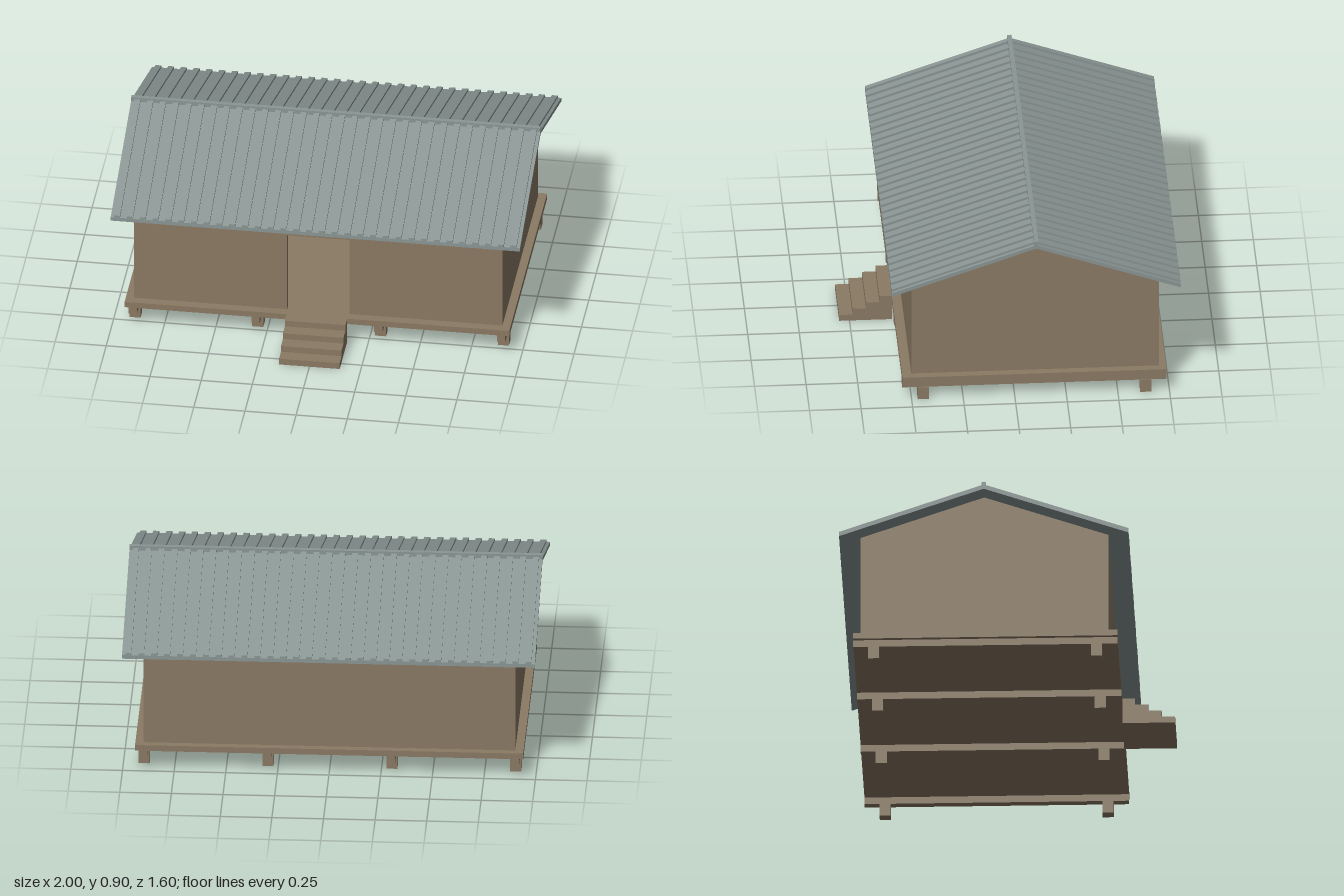
import * as THREE from 'three';

const RIDGE_Z = -0.1, EAVE = 0.7, SLOPE = 0.347;

export function createModel() {
  const cabin = new THREE.Group();
  cabin.name = 'cabin';
  const wood = new THREE.MeshStandardMaterial({ color: 0x8b7a64 });
  wood.name = 'brown wood';
  const metal = new THREE.MeshStandardMaterial({ color: 0x8a9694 });
  metal.name = 'grey roofing';

  const add = (name, geometry, material) => {
    const mesh = new THREE.Mesh(geometry, material);
    mesh.name = name;
    cabin.add(mesh);
    return mesh;
  };
  // Box given by its limits on each axis
  const box = (name, [x0, x1], [y0, y1], [z0, z1], material = wood) =>
    add(name, new THREE.BoxGeometry(x1 - x0, y1 - y0, z1 - z0), material)
      .position.set((x0 + x1) / 2, (y0 + y1) / 2, (z0 + z1) / 2);
  const polygon = (points) => new THREE.Shape(points.map(([a, b]) => new THREE.Vector2(a, b)));
  // Profile in (z, y) extruded along x, centred on x = 0
  const alongX = (points, width) =>
    new THREE.ExtrudeGeometry(polygon(points), { depth: width, bevelEnabled: false })
      .rotateY(-Math.PI / 2).translate(width / 2, 0, 0);
  // Gabled sheet between two eave heights
  const chevron = (low, high, width) => {
    const rise = EAVE * SLOPE, a = RIDGE_Z - EAVE, b = RIDGE_Z + EAVE;
    return alongX([[a, low], [RIDGE_Z, low + rise], [b, low],
      [b, high], [RIDGE_Z, high + rise], [a, high]], width);
  };

  // Floor deck, bearers and stumps
  box('floorDeck', [-0.94, 0.94], [0.1, 0.13], [-0.735, 0.545]);
  for (const x of [-0.9, -0.3, 0.3, 0.9]) {
    box('bearer', [x - 0.02, x + 0.02], [0.065, 0.1], [-0.735, 0.545]);
    for (const z of [-0.635, 0.443])
      box('stump', [x - 0.027, x + 0.027], [0, 0.065], [z - 0.027, z + 0.027]);
  }

  // Entrance steps
  const z0 = 0.545, treads = [0.605, 0.67, 0.735, 0.8];
  const steps = [[z0, 0], [0.8, 0]];
  for (let i = 3; i >= 0; i--) {
    const y = 0.0325 * (4 - i);
    steps.push([treads[i], y], [i ? treads[i - 1] : z0, y]);
  }
  add('steps', alongX(steps, 0.296), wood);

  // Gabled end walls and inner partition
  const wallTop = 0.62 + 0.1 * SLOPE;
  const gable = alongX([[-0.7, 0.13], [0.5, 0.13], [0.5, wallTop],
    [RIDGE_Z, 0.62 + EAVE * SLOPE], [-0.7, wallTop]], 0.03);
  add('endWallRight', gable, wood).position.x = -0.885;
  add('endWallLeft', gable, wood).position.x = 0.885;
  const partition = alongX([[-0.67, 0.13], [0.47, 0.13], [0.47, wallTop],
    [RIDGE_Z, 0.62 + EAVE * SLOPE], [-0.67, wallTop]], 0.03);
  add('partition', partition, wood).position.x = -0.515;

  // Back wall, and front wall with an open doorway
  box('backWall', [-0.87, 0.87], [0.13, wallTop], [-0.7, -0.67]);
  const front = polygon([[-0.87, 0.13], [-0.152, 0.13], [-0.152, 0.55], [0.152, 0.55],
    [0.152, 0.13], [0.87, 0.13], [0.87, wallTop], [-0.87, wallTop]]);
  add('frontWall', new THREE.ExtrudeGeometry(front, { depth: 0.03, bevelEnabled: false }), wood)
    .position.z = 0.47;

  // Roof sheet with raised ribs and a ridge cap
  add('roofSheet', chevron(0.62, 0.639, 2), metal);
  const rib = chevron(0.638, 0.651, 0.029);
  for (let i = 0; i < 32; i++)
    add('roofRib', rib, metal).position.x = -1 + (i + 0.5) / 16;
  box('ridgeCap', [-1, 1], [0.875, 0.9], [RIDGE_Z - 0.011, RIDGE_Z + 0.011], metal);

  return cabin;
}
